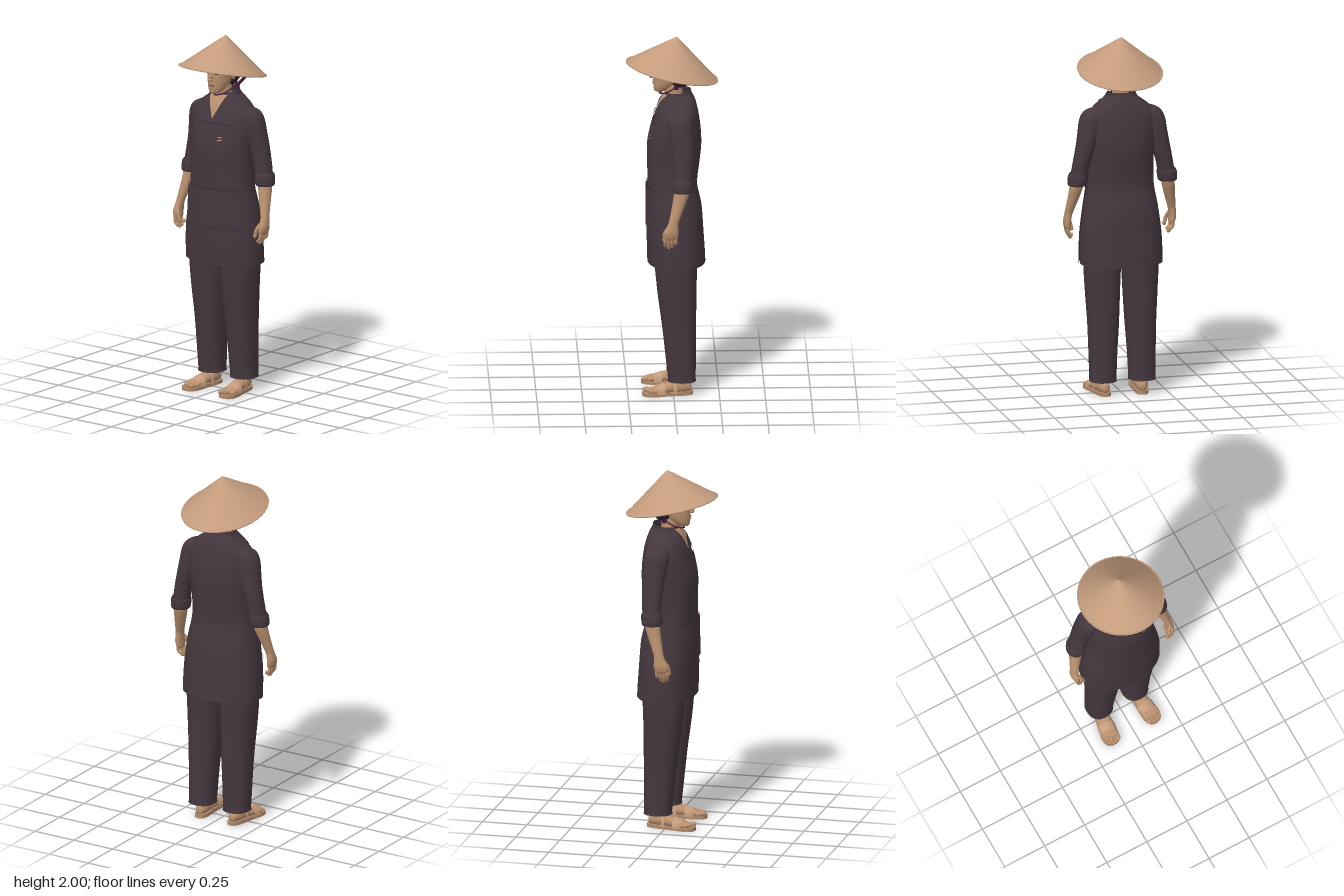
import * as THREE from 'three';

const mat = (name, color, side = THREE.FrontSide) => {
  const m = new THREE.MeshStandardMaterial({ color, side });
  m.name = name;
  return m;
};

// Grid surface from f(u, v); wrap joins the u ends smoothly
function grid(f, nu, nv, wrap = false) {
  const pos = [], idx = [], cols = wrap ? nu : nu + 1;
  for (let i = 0; i <= nv; i++)
    for (let j = 0; j < cols; j++) pos.push(...f(j / nu, i / nv));
  for (let i = 0; i < nv; i++)
    for (let j = 0; j < nu; j++) {
      const a = i * cols + j, b = i * cols + (j + 1) % cols;
      idx.push(a, a + cols, b, b, a + cols, b + cols);
    }
  const g = new THREE.BufferGeometry();
  g.setAttribute('position', new THREE.Float32BufferAttribute(pos, 3));
  g.setIndex(idx);
  g.computeVertexNormals();
  return g;
}

const spow = (v, p) => Math.sign(v) * Math.abs(v) ** p;

// Smooth blend of table rows at fraction t
function rowAt(rows, t) {
  const f = THREE.MathUtils.clamp(t, 0, 1) * (rows.length - 1);
  const i = Math.min(Math.floor(f), rows.length - 2), k = f - i;
  const at = n => rows[Math.max(0, Math.min(rows.length - 1, n))];
  return rows[i].map((b, c) => {
    const a = at(i - 1)[c], d = at(i + 1)[c], e = at(i + 2)[c];
    return b + 0.5 * k * (d - a + k * (2 * a - 5 * b + 4 * d - e + k * (3 * (b - d) + e - a)));
  });
}

// Stack of oval rings: [x, y, z, half width, half depth], bottom to top
const loft = (rows, n = 2, nu = 32, steps = 4) => grid((u, v) => {
  const [x, y, z, rx, rz] = rowAt(rows, v), a = u * Math.PI * 2;
  return [x + Math.max(rx, 0) * spow(Math.cos(a), 2 / n), y, z + Math.max(rz, 0) * spow(Math.sin(a), 2 / n)];
}, nu, (rows.length - 1) * steps, true);

// Tunic cross-sections: [y, half width, front z, back z]
const TUNIC = [
  [0.735, 0.228, 0.133, -0.177], [0.9, 0.223, 0.137, -0.167], [1.05, 0.204, 0.135, -0.156],
  [1.17, 0.184, 0.132, -0.132], [1.3, 0.18, 0.134, -0.145], [1.4, 0.186, 0.134, -0.155],
  [1.5, 0.19, 0.114, -0.15], [1.58, 0.185, 0.088, -0.138], [1.63, 0.142, 0.07, -0.126],
  [1.66, 0.1, 0.055, -0.115], [1.69, 0.07, 0.038, -0.1]];
const N = 2.3;

function tunicAt(y) {
  let i = 0;
  while (i < TUNIC.length - 2 && TUNIC[i + 1][0] < y) i++;
  const t = (y - TUNIC[i][0]) / (TUNIC[i + 1][0] - TUNIC[i][0]);
  return rowAt(TUNIC, (i + t) / (TUNIC.length - 1));
}

// Point on the tunic at angle a from the front, raised by off
function onTunic(a, y, off) {
  const [, hw, zf, zb] = tunicAt(y);
  return [(hw + off) * spow(Math.sin(a), 2 / N), y,
    (zf + zb) / 2 + ((zf - zb) / 2 + off) * spow(Math.cos(a), 2 / N)];
}

// Point on the chest at a given x
function onFront(x, y, off) {
  const hw = tunicAt(y)[1];
  return onTunic(Math.asin(spow(Math.max(-1, Math.min(1, x / hw)), N / 2)), y, off);
}

export function createModel() {
  const root = new THREE.Group();
  const D = THREE.DoubleSide;
  const straw = mat('straw', 0xc49c7d, D), skin = mat('skin', 0xb9906e, D);
  const cloth = mat('dark cloth', 0x44373e, D), seam = mat('seam', 0x30262c, D);
  const hair = mat('hair', 0x30262d), ribbon = mat('purple ribbon', 0x4a1c44, D);
  const lips = mat('lips', 0x9a6a56), sandal = mat('sandal', 0xb08a6c), badge = mat('badge', 0xd69a6c, D);
  const add = (name, geo, m, parent = root) => {
    const o = new THREE.Mesh(geo, m);
    o.name = name;
    parent.add(o);
    return o;
  };
  const ball = (name, m, p, s, parent) => {
    const o = add(name, new THREE.SphereGeometry(1, 20, 14), m, parent);
    o.position.set(...p);
    o.scale.set(...s);
    return o;
  };
  const tube = (name, pts, r, m, closed = false) => add(name, new THREE.TubeGeometry(
    new THREE.CatmullRomCurve3(pts.map(p => new THREE.Vector3(...p)), closed), closed ? 80 : 20, r, 8, closed), m);

  // Tilted conical hat with a rim
  const brim = a => [0.231 * Math.cos(a), 1.806 + 0.055 * Math.sin(a), 0.005 + 0.249 * Math.sin(a)];
  add('hat', grid((u, v) => {
    const b = brim(u * Math.PI * 2), apex = [0, 2, -0.022];
    return b.map((c, k) => c + (apex[k] - c) * v);
  }, 72, 16, true), straw);
  tube('hatRim', Array.from({ length: 24 }, (_, i) => brim(i / 12 * Math.PI)), 0.004, straw, true);

  // Head, hair and neck
  add('head', loft([[0, 1.688, 0.075, 0, 0], [0, 1.694, 0.073, 0.024, 0.026], [0, 1.715, 0.056, 0.042, 0.05],
    [0, 1.745, 0.034, 0.055, 0.074], [0, 1.78, 0.016, 0.062, 0.092], [0, 1.82, 0.006, 0.066, 0.101],
    [0, 1.87, 0, 0.065, 0.099], [0, 1.91, -0.012, 0.05, 0.075], [0, 1.925, -0.015, 0, 0]], 2.1), skin);
  add('hair', loft([[0, 1.715, -0.035, 0, 0], [0, 1.725, -0.035, 0.045, 0.045], [0, 1.77, -0.03, 0.067, 0.072],
    [0, 1.83, -0.02, 0.071, 0.084], [0, 1.87, -0.014, 0.07, 0.092], [0, 1.91, -0.016, 0.055, 0.085],
    [0, 1.93, -0.016, 0, 0]], 2.1), hair);
  ball('hairBun', hair, [0, 1.775, -0.1], [0.045, 0.045, 0.04]);
  add('neck', loft([[0, 1.56, -0.01, 0.06, 0.06], [0, 1.63, -0.01, 0.05, 0.056], [0, 1.68, -0.004, 0.046, 0.05],
    [0, 1.75, 0, 0.046, 0.05]]), skin);

  // Face
  ball('nose', skin, [0, 1.787, 0.11], [0.012, 0.02, 0.02]);
  ball('noseTip', skin, [0, 1.775, 0.118], [0.015, 0.009, 0.014]);
  ball('upperLip', lips, [0, 1.744, 0.105], [0.021, 0.0045, 0.008]);
  ball('lowerLip', lips, [0, 1.737, 0.103], [0.018, 0.005, 0.008]);
  ball('chin', skin, [0, 1.706, 0.088], [0.022, 0.016, 0.016]);

  // Collar band and open neckline
  add('neckline', grid((u, v) => onFront((u * 2 - 1) * (0.002 + 0.056 * v), 1.555 + 0.125 * v, 0.005), 8, 10), skin);
  add('collarBand', grid((u, v) => {
    const a = (u * 2 - 1) * 2.2, r = 0.088 - 0.012 * v;
    return [r * Math.sin(a), 1.65 + 0.045 * v + 0.008 * v * Math.cos(a), -0.03 - (r - 0.008) * Math.cos(a)];
  }, 30, 4), cloth);

  // Tunic with an open hem
  add('tunic', grid((u, v) => {
    const y = rowAt(TUNIC, v)[0];
    return onTunic(-u * Math.PI * 2, y, 0);
  }, 56, 44, true), cloth);

  // Apron: bib narrowing at the armholes, skirt wrapping to the sides
  const apronHalf = y => 1.5 - 0.87 * THREE.MathUtils.smoothstep(y, 1.3, 1.5);
  add('apron', grid((u, v) => {
    const y = 0.735 + 0.8 * v;
    return onTunic((u * 2 - 1) * apronHalf(y), y, 0.007);
  }, 40, 36), cloth);
  add('apronPocket', grid((u, v) => onFront((u * 2 - 1) * 0.15, 0.95 + 0.21 * v, 0.014 + 0.004 * v), 16, 8), cloth);
  const strip = (name, x0, x1, y0, y1, off, m) =>
    add(name, grid((u, v) => onFront(x0 + (x1 - x0) * u, y0 + (y1 - y0) * v, off), 20, 4), m);
  strip('waistSeam', -0.165, 0.165, 1.166, 1.171, 0.017, seam);
  strip('bibHem', -0.112, 0.112, 1.528, 1.532, 0.009, seam);
  strip('pocketSeam', -0.19, 0.19, 0.948, 0.951, 0.016, seam);
  for (const y of [1.443, 1.458]) strip('badgeStripe', 0.057, 0.081, y, y + 0.005, 0.011, badge);

  // Hips inside the tunic
  ball('hips', cloth, [0, 0.87, -0.015], [0.19, 0.12, 0.115]);

  for (const s of [1, -1]) {
    // Eyes, brows, ears
    ball('eye', hair, [s * 0.027, 1.806, 0.0975], [0.011, 0.004, 0.005]);
    const brow = ball('eyebrow', hair, [s * 0.028, 1.824, 0.1], [0.016, 0.003, 0.005]);
    brow.rotation.z = -s * 0.15;
    ball('ear', skin, [s * 0.068, 1.79, -0.005], [0.01, 0.028, 0.017]);

    // Chin ribbon hung from the hat
    tube('hatRibbon', [[s * 0.17, 1.835, -0.02], [s * 0.125, 1.775, -0.022], [s * 0.082, 1.732, -0.015]], 0.009, ribbon);
    tube('chinCord', [[s * 0.084, 1.735, -0.015], [s * 0.058, 1.705, 0.02], [s * 0.03, 1.686, 0.055],
      [0, 1.68, 0.075]], 0.004, ribbon);
    ball('ribbonKnot', ribbon, [s * 0.086, 1.735, -0.016], [0.014, 0.016, 0.014]);

    // Collar wing lying on the chest
    const top = [[0.062, 1.698, 0.02], [0.096, 1.664, -0.005]], low = [[0.01, 1.556], [0.068, 1.572]]
      .map(([x, y]) => onFront(x, y, 0.013));
    add('collarWing', grid((u, v) => {
      const p = [0, 1, 2].map(k => THREE.MathUtils.lerp(
        THREE.MathUtils.lerp(low[0][k], low[1][k], u), THREE.MathUtils.lerp(top[0][k], top[1][k], u), v));
      return [s * p[0], p[1], Math.max(p[2], onFront(p[0], Math.min(p[1], 1.685), 0.01)[2])];
    }, 8, 10), cloth);
    strip('apronStrap', s * 0.088, s * 0.112, 1.53, 1.645, 0.007, cloth);

    // Sleeve with rolled cuff
    add('sleeve', loft([[s * 0.25, 1.21, -0.045, 0.047, 0.05], [s * 0.235, 1.3, -0.05, 0.047, 0.053],
      [s * 0.21, 1.4, -0.05, 0.053, 0.06], [s * 0.19, 1.48, -0.042, 0.06, 0.066],
      [s * 0.174, 1.55, -0.035, 0.064, 0.068], [s * 0.158, 1.595, -0.032, 0.05, 0.056],
      [s * 0.14, 1.622, -0.03, 0, 0]], 2.1), cloth);
    add('rolledCuff', loft([[s * 0.253, 1.215, -0.045, 0.036, 0.04], [s * 0.254, 1.188, -0.044, 0.048, 0.05],
      [s * 0.254, 1.2, -0.044, 0.054, 0.057], [s * 0.25, 1.24, -0.046, 0.055, 0.058],
      [s * 0.248, 1.256, -0.047, 0.048, 0.051]]), cloth);

    // Forearm, palm and fingers
    add('forearm', loft([[s * 0.292, 0.922, 0.02, 0, 0], [s * 0.293, 0.932, 0.02, 0.015, 0.035],
      [s * 0.297, 0.965, 0.018, 0.02, 0.041], [s * 0.294, 1, 0.01, 0.021, 0.032],
      [s * 0.289, 1.03, 0.002, 0.023, 0.028], [s * 0.271, 1.11, -0.022, 0.031, 0.035],
      [s * 0.258, 1.18, -0.04, 0.037, 0.042], [s * 0.25, 1.25, -0.045, 0.038, 0.042]]), skin);
    for (let i = 0; i < 4; i++) {
      const z = -0.008 + i * 0.019, tip = [0.893, 0.878, 0.872, 0.882][i];
      tube('finger', [[s * 0.296, 0.945, z], [s * 0.292, 0.91, z + 0.002], [s * 0.278, tip + 0.009, z]], 0.0095, skin);
      ball('fingertip', skin, [s * 0.278, tip + 0.009, z], [0.0095, 0.011, 0.0095]);
    }
    tube('thumb', [[s * 0.288, 0.99, 0.035], [s * 0.272, 0.957, 0.052], [s * 0.262, 0.92, 0.055]], 0.011, skin);
    ball('thumbTip', skin, [s * 0.262, 0.92, 0.055], [0.011, 0.013, 0.011]);

    // Trouser leg
    add('trouserLeg', loft([[s * 0.11, 0.1, -0.045, 0, 0], [s * 0.11, 0.08, -0.045, 0.069, 0.073],
      [s * 0.11, 0.1, -0.045, 0.073, 0.076], [s * 0.108, 0.25, -0.038, 0.078, 0.085],
      [s * 0.105, 0.4, -0.03, 0.085, 0.094], [s * 0.106, 0.6, -0.018, 0.095, 0.108],
      [s * 0.106, 0.75, -0.015, 0.1, 0.115], [s * 0.1, 0.92, -0.015, 0.09, 0.11]], 2.3), cloth);

    // Sandalled foot
    const foot = new THREE.Group();
    foot.name = 'foot';
    foot.position.set(s * 0.114, 0, 0);
    foot.rotation.y = s * 0.12;
    root.add(foot);
    const outline = new THREE.Shape();
    outline.moveTo(0, 0.108);
    outline.bezierCurveTo(0.048, 0.108, 0.034, 0.03, 0.044, -0.05);
    outline.bezierCurveTo(0.056, -0.13, 0.05, -0.172, 0, -0.172);
    outline.bezierCurveTo(-0.05, -0.172, -0.056, -0.13, -0.044, -0.05);
    outline.bezierCurveTo(-0.034, 0.03, -0.048, 0.108, 0, 0.108);
    const sole = new THREE.ExtrudeGeometry(outline, { depth: 0.02, bevelEnabled: false, curveSegments: 12 });
    add('sandalSole', sole.rotateX(-Math.PI / 2), sandal, foot);
    add('footUpper', loft([[0, -0.1, -0.04, 0, 0], [0, -0.092, -0.042, 0.022, 0.025], [0, -0.05, -0.045, 0.034, 0.036],
      [0, 0, -0.045, 0.036, 0.036], [0, 0.06, -0.035, 0.043, 0.026], [0, 0.11, -0.028, 0.046, 0.016],
      [0, 0.135, -0.026, 0.04, 0.01], [0, 0.14, -0.026, 0, 0]]).rotateX(Math.PI / 2), skin, foot);
    add('ankle', loft([[0, 0.04, -0.045, 0.034, 0.042], [0, 0.08, -0.045, 0.032, 0.038],
      [0, 0.13, -0.045, 0.034, 0.038]]), skin, foot);
    for (let i = 0; i < 5; i++)
      ball('toe', skin, [s * (-0.034 + i * 0.0175), 0.029, 0.146 - i * i * 0.0018],
        [i ? 0.009 : 0.013, 0.011, 0.02], foot);
    // Straps arched over the foot
    for (const [z0, w, h, r] of [[0.075, 0.045, 0.06, 0.049], [-0.005, 0.02, 0.086, 0.041]])
      add('sandalStrap', grid((u, v) => {
        const a = u * Math.PI;
        return [r * Math.cos(a), 0.012 + (h - 0.012 - (v - 0.5) * w * 0.35) * Math.sin(a) ** 0.8, z0 + (v - 0.5) * w];
      }, 20, 3), straw, foot);
  }
  return root;
}
